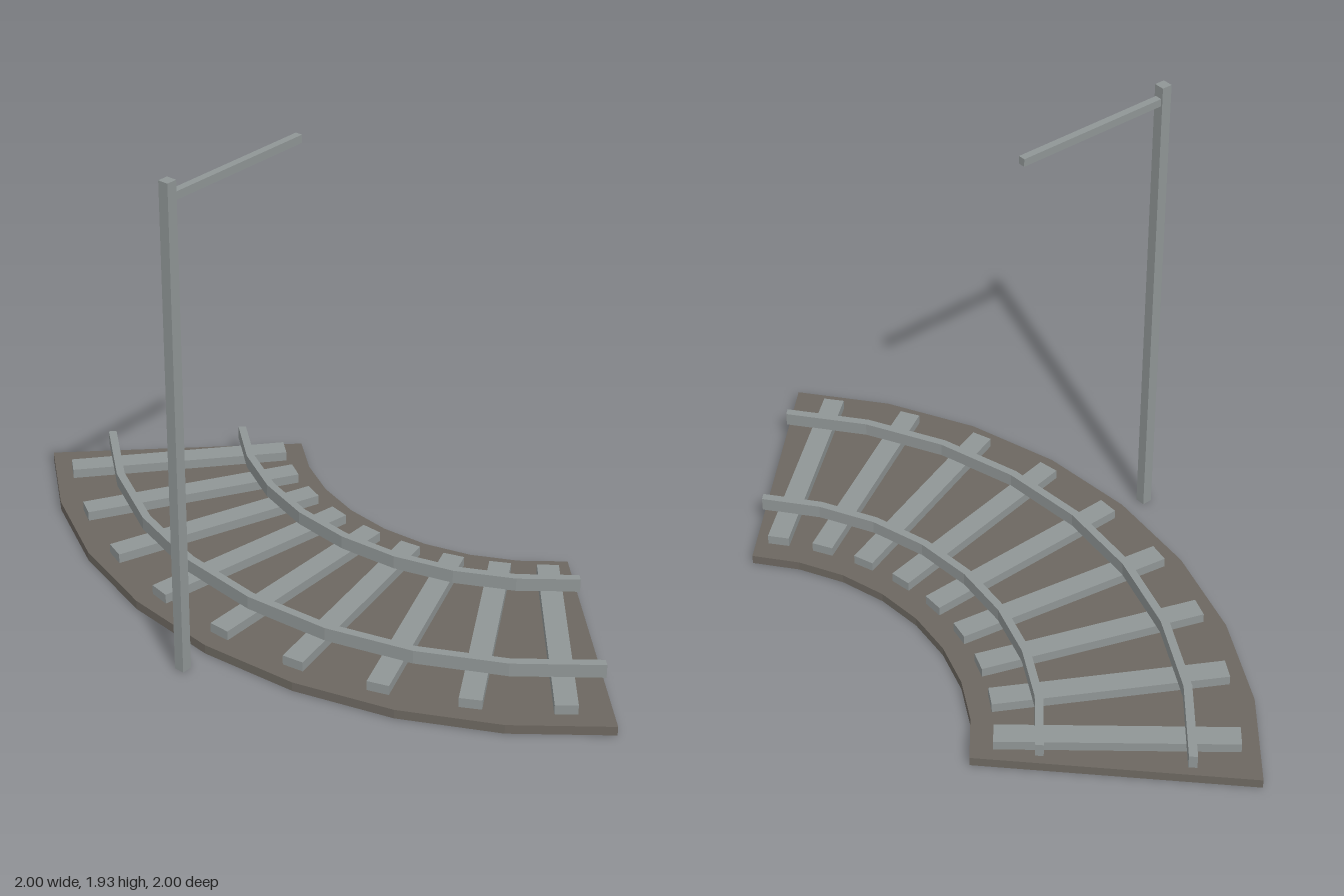
import * as THREE from 'three';

const SEGMENTS = 8;       // straight pieces in the quarter turn
const CX = 1, CZ = -1;    // centre of the curve

// Quarter ring around the curve centre, extruded upwards from y0 to y1
function quarterRing(inner, outer, y0, y1) {
  const points = [];
  const add = (r, i) => {
    const a = (i / SEGMENTS) * Math.PI / 2;
    points.push(new THREE.Vector2(CX - r * Math.cos(a), -(CZ + r * Math.sin(a))));
  };
  for (let i = 0; i <= SEGMENTS; i++) add(outer, i);
  for (let i = SEGMENTS; i >= 0; i--) add(inner, i);
  const geometry = new THREE.ExtrudeGeometry(new THREE.Shape(points), { depth: y1 - y0, bevelEnabled: false });
  geometry.rotateX(-Math.PI / 2);
  geometry.translate(0, y0, 0);
  return geometry;
}

export function createModel() {
  const model = new THREE.Group();
  model.name = 'curvedTrack';

  const gravel = new THREE.MeshStandardMaterial({ color: 0x6c6760 });
  gravel.name = 'gravel';
  const steel = new THREE.MeshStandardMaterial({ color: 0x8f9595 });
  steel.name = 'steel';

  const add = (name, geometry, material, parent = model) => {
    const mesh = new THREE.Mesh(geometry, material);
    mesh.name = name;
    parent.add(mesh);
    return mesh;
  };

  // Track bed and the two rails
  add('trackBed', quarterRing(0.963, 1.998, 0, 0.037), gravel);
  add('innerRail', quarterRing(1.195, 1.226, 0.075, 0.13), steel);
  add('outerRail', quarterRing(1.733, 1.765, 0.075, 0.13), steel);

  // Radial parts: local +x points outwards from the curve centre
  const radial = (name, degrees) => {
    const group = new THREE.Group();
    group.name = name;
    group.position.set(CX, 0, CZ);
    group.rotation.y = Math.PI + THREE.MathUtils.degToRad(degrees);
    model.add(group);
    return group;
  };

  // Nine sleepers, ten degrees apart
  const sleeperGeometry = new THREE.BoxGeometry(0.88, 0.04, 0.084);
  for (let i = 0; i < 9; i++) {
    const sleeper = add('sleeper', sleeperGeometry, steel, radial('sleeperMount', 5 + i * 10));
    sleeper.position.set(1.482, 0.056, 0);
  }

  // Overhead mast with an arm reaching in over the track
  const mast = radial('mast', 45);
  add('mastPole', new THREE.BoxGeometry(0.041, 1.93, 0.041), steel, mast).position.set(2.115, 0.965, 0);
  add('mastArm', new THREE.BoxGeometry(0.63, 0.03, 0.028), steel, mast).position.set(1.785, 1.87, 0);

  return model;
}
